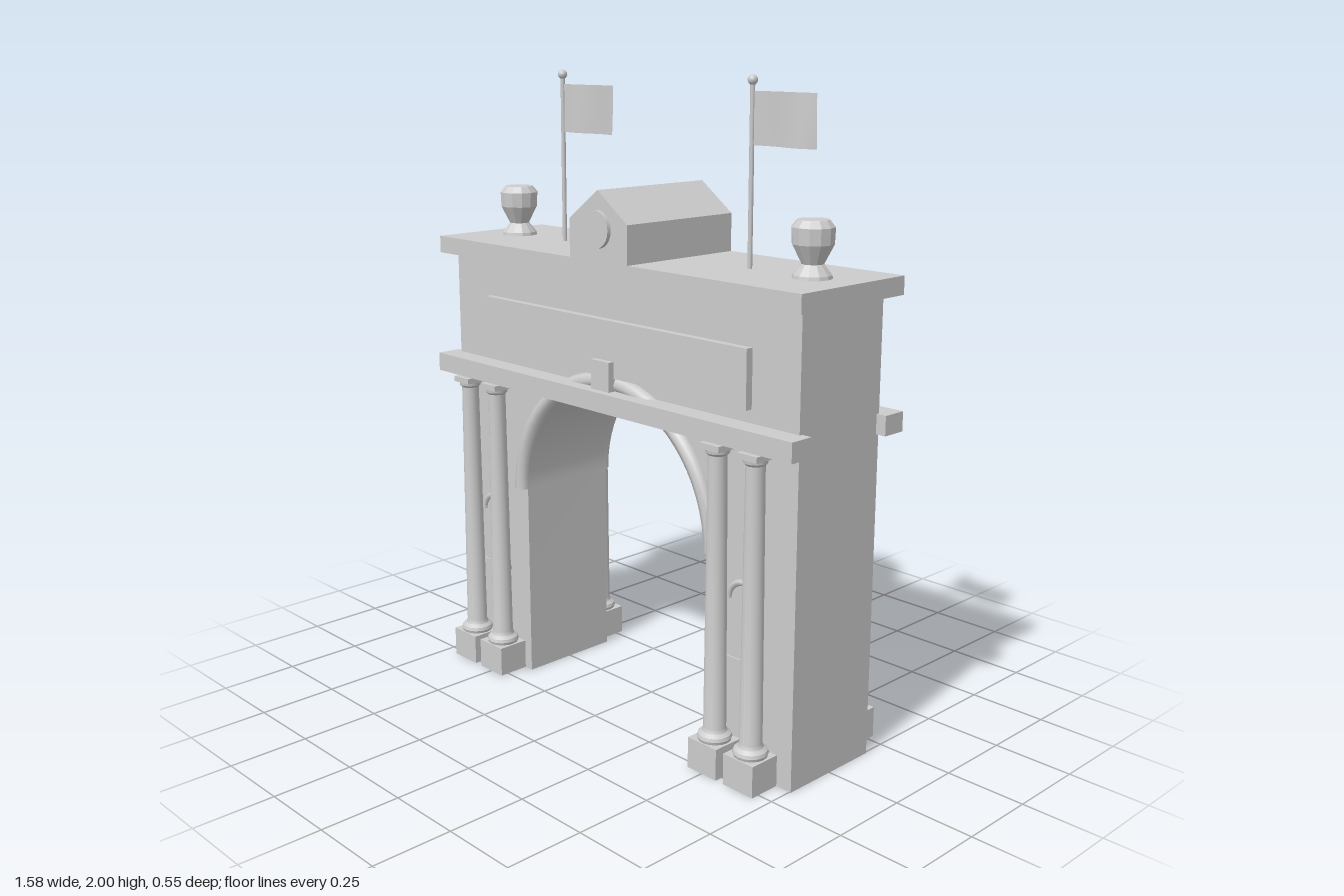
import * as THREE from 'three';
import { toCreasedNormals } from 'three/addons/utils/BufferGeometryUtils.js';

const stone = new THREE.MeshStandardMaterial({ color: 0xcccccc });
stone.name = 'stone grey';
const cloth = new THREE.MeshStandardMaterial({ color: 0xcccccc, side: THREE.DoubleSide });
cloth.name = 'flag grey';

function add(parent, name, geometry, x = 0, y = 0, z = 0, material = stone) {
  const mesh = new THREE.Mesh(geometry, material);
  mesh.name = name;
  mesh.position.set(x, y, z);
  parent.add(mesh);
  return mesh;
}

// Box given by centre x and z, and bottom and top heights
function block(parent, name, w, y0, y1, d, x = 0, z = 0) {
  return add(parent, name, new THREE.BoxGeometry(w, y1 - y0, d), x, (y0 + y1) / 2, z);
}

function extrude(shape, depth, curveSegments = 24) {
  const g = new THREE.ExtrudeGeometry(shape, { depth, bevelEnabled: false, curveSegments });
  return toCreasedNormals(g.translate(0, 0, -depth / 2), 0.6);
}

function lathe(points, sides, crease = 0.5) {
  const g = new THREE.LatheGeometry(points.map(([r, y]) => new THREE.Vector2(r, y)), sides);
  return toCreasedNormals(g, crease);
}

const SPRING = 0.645, RADIUS = 0.41;

// Main mass with the arched passage cut through
function bodyGeometry() {
  const s = new THREE.Shape();
  s.moveTo(-0.755, 0);
  s.lineTo(-RADIUS, 0);
  s.lineTo(-RADIUS, SPRING);
  s.absarc(0, SPRING, RADIUS, Math.PI, 0, true);
  s.lineTo(RADIUS, 0);
  s.lineTo(0.755, 0);
  s.lineTo(0.755, 1.4);
  s.lineTo(-0.755, 1.4);
  s.closePath();
  return extrude(s, 0.346, 32);
}

// Pedestal, moulded base, tapered shaft and capital
function column(parent, x) {
  const g = new THREE.Group();
  g.name = 'column';
  g.position.set(x, 0, 0.223);
  parent.add(g);
  block(g, 'pedestal', 0.114, 0, 0.097, 0.108);
  add(g, 'shaft', lathe([
    [0, 0.097], [0.05, 0.097], [0.053, 0.106], [0.05, 0.116], [0.038, 0.125],
    [0.034, 0.135], [0.028, 0.965], [0.035, 0.972], [0.037, 0.985], [0, 0.985],
  ], 16));
  block(g, 'capital', 0.074, 0.982, 1, 0.074);
}

// Shallow round-headed panel with a moulded head and sill
function niche(parent, x) {
  const g = new THREE.Group();
  g.name = 'niche';
  g.position.x = x;
  parent.add(g);
  const s = new THREE.Shape();
  s.moveTo(-0.058, 0.345);
  s.lineTo(0.058, 0.345);
  s.lineTo(0.058, 0.532);
  s.absarc(0, 0.532, 0.058, 0, Math.PI, false);
  s.closePath();
  add(g, 'nichePanel', extrude(s, 0.012, 12), 0, 0, 0.177);
  add(g, 'nicheHead', new THREE.TorusGeometry(0.058, 0.01, 6, 14, Math.PI), 0, 0.532, 0.184);
  block(g, 'nicheSill', 0.13, 0.338, 0.352, 0.016, 0, 0.18);
}

// Everything applied to one long face
function facade(name) {
  const g = new THREE.Group();
  g.name = name;
  block(g, 'lowerCornice', 1.576, 1, 1.06, 0.08, 0, 0.202);
  block(g, 'panel', 1.16, 1.1, 1.275, 0.03, 0, 0.182);
  block(g, 'keystone', 0.08, 1.03, 1.152, 0.06, 0, 0.187);
  add(g, 'archMoulding', new THREE.TorusGeometry(0.435, 0.026, 8, 32, Math.PI), 0, SPRING, 0.173);
  for (const side of [-1, 1]) {
    column(g, side * 0.643);
    column(g, side * 0.5);
    niche(g, side * 0.572);
  }
  return g;
}

// Waving cloth, flying towards +x
function flagGeometry(sign) {
  const g = new THREE.PlaneGeometry(0.235, 0.15, 12, 4).translate(0.1175, 0, 0);
  const p = g.attributes.position;
  for (let i = 0; i < p.count; i++) {
    const t = p.getX(i) / 0.235, low = 0.5 - p.getY(i) / 0.15;
    p.setZ(i, sign * t * (0.006 + 0.01 * low) * Math.sin(t * 6 + low * 0.5));
  }
  g.computeVertexNormals();
  return g;
}

export function createModel() {
  const model = new THREE.Group();
  model.name = 'triumphalArch';

  add(model, 'body', bodyGeometry());
  const front = facade('frontFacade');
  const back = facade('backFacade');
  back.rotation.y = Math.PI;
  model.add(front, back);

  // Roof slab
  block(model, 'upperCornice', 1.58, 1.4, 1.455, 0.44);

  // Gabled attic with a round face on the front
  const gable = new THREE.Shape();
  gable.moveTo(-0.127, 1.455);
  gable.lineTo(0.127, 1.455);
  gable.lineTo(0.127, 1.573);
  gable.lineTo(0, 1.665);
  gable.lineTo(-0.127, 1.573);
  gable.closePath();
  add(model, 'gable', extrude(gable, 0.44));
  const disc = new THREE.CylinderGeometry(0.057, 0.057, 0.02, 24).rotateX(Math.PI / 2);
  add(model, 'roundFace', disc, 0, 1.55, 0.223);

  // Urns and flags
  const urn = lathe([
    [0, 1.455], [0.058, 1.455], [0.056, 1.465], [0.032, 1.495],
    [0.06, 1.55], [0.062, 1.597], [0.046, 1.617], [0, 1.619],
  ], 12, 0.3);
  for (const side of [-1, 1]) {
    add(model, 'urn', urn, side * 0.64);
    const flag = new THREE.Group();
    flag.name = side > 0 ? 'leftFlag' : 'rightFlag';
    flag.position.x = side * 0.407;
    model.add(flag);
    add(flag, 'pole', new THREE.CylinderGeometry(0.007, 0.007, 0.53, 8), 0, 1.72, 0);
    add(flag, 'finial', new THREE.SphereGeometry(0.015, 12, 8), 0, 1.985, 0);
    add(flag, 'flagCloth', flagGeometry(-side), 0, 1.88, 0, cloth);
  }
  return model;
}
